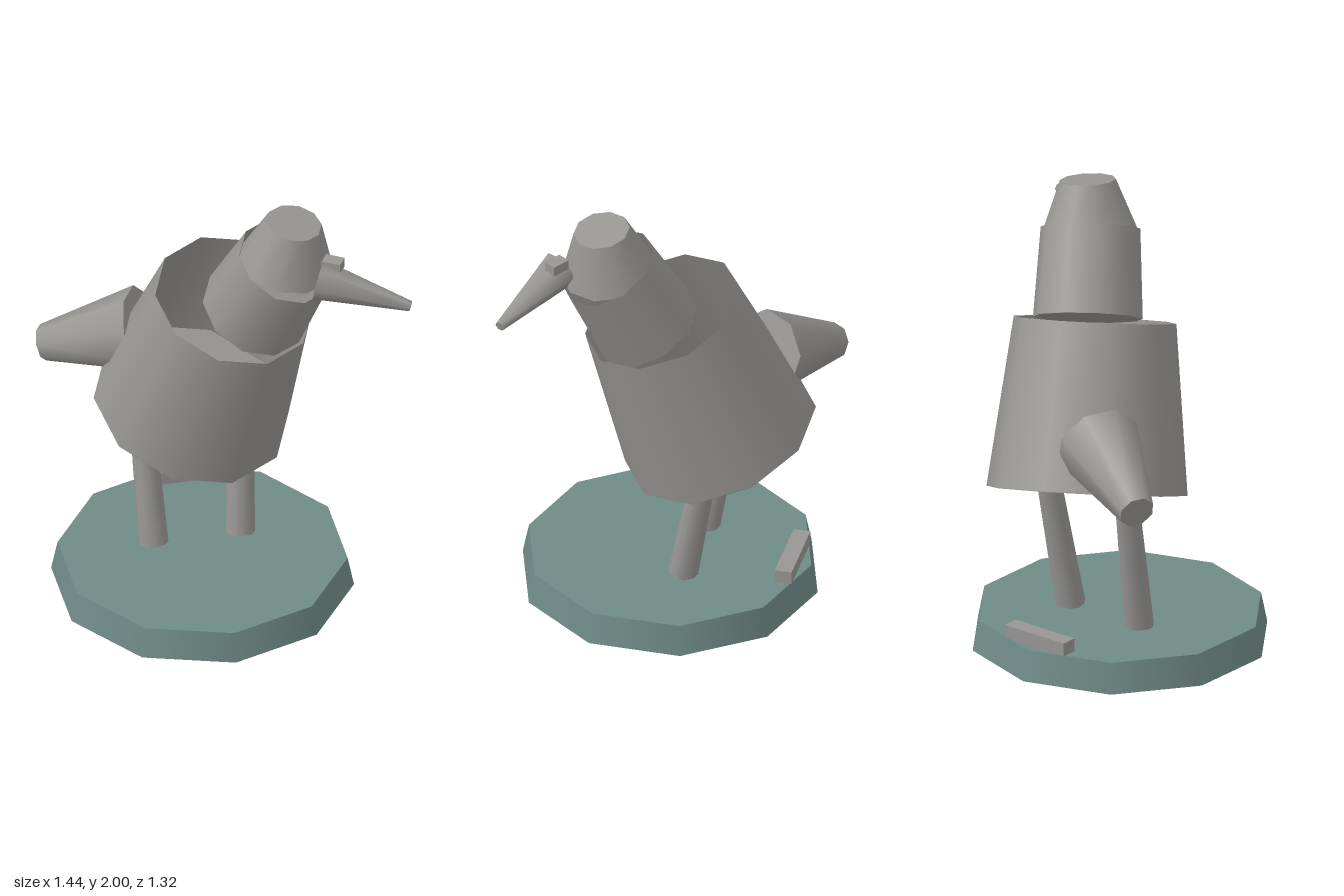
import * as THREE from 'three';

const UP = new THREE.Vector3(0, 1, 0);

export function createModel() {
  const model = new THREE.Group();
  const grey = new THREE.MeshStandardMaterial({ color: 0x989693, side: THREE.DoubleSide });
  grey.name = 'plumage grey';
  const teal = new THREE.MeshStandardMaterial({ color: 0x6f8a86 });
  teal.name = 'plinth teal';

  // Tapered tube from point a (radius ra) to point b (radius rb), turned by a phase in degrees
  function taper(name, a, b, ra, rb, sides, phase = 0, openTop = false, material = grey) {
    const start = new THREE.Vector3(...a);
    const axis = new THREE.Vector3(...b).sub(start);
    const length = axis.length();
    const turn = THREE.MathUtils.degToRad(phase);
    const part = new THREE.Group();
    part.name = name;
    const wall = new THREE.CylinderGeometry(rb, ra, length, sides, 1, openTop, turn);
    wall.translate(0, length / 2, 0);
    part.add(new THREE.Mesh(wall, material));
    if (openTop) {
      // Floor of the open tube
      const floor = new THREE.CylinderGeometry(ra, ra, 0.004, sides, 1, false, turn);
      part.add(new THREE.Mesh(floor, material));
    }
    part.children.forEach((mesh) => { mesh.name = name; });
    part.position.copy(start);
    part.quaternion.setFromUnitVectors(UP, axis.normalize());
    model.add(part);
  }

  function block(name, size, position, yaw = 0) {
    const mesh = new THREE.Mesh(new THREE.BoxGeometry(...size), grey);
    mesh.name = name;
    mesh.position.set(...position);
    mesh.rotation.y = yaw;
    model.add(mesh);
  }

  // Plinth
  taper('plinth', [-0.09, 0, 0], [-0.09, 0.138, 0], 0.66, 0.632, 10, 0, false, teal);
  block('plinthBlock', [0.33, 0.06, 0.075], [-0.09, 0.168, -0.548]);

  // Legs
  taper('leftLeg', [0.1, 0.14, -0.107], [0.13, 0.75, -0.22], 0.066, 0.054, 10);
  taper('rightLeg', [-0.285, 0.14, -0.107], [-0.312, 0.75, -0.22], 0.066, 0.054, 10);

  // Body and neck are hollow, open at the top
  taper('body', [-0.09, 0.758, -0.225], [0.05, 1.45, 0], 0.44, 0.356, 10, 14, true);
  taper('neck', [0.13, 1.425, 0.048], [0.238, 1.77, 0.197], 0.24, 0.218, 10, 14, true);

  // Head, beak and brow
  taper('head', [0.235, 1.758, 0.192], [0.268, 1.982, 0.216], 0.21, 0.123, 10, 14);
  taper('beak', [0.338, 1.793, 0.39], [0.71, 1.711, 0.56], 0.09, 0.023, 6, 35);
  block('brow', [0.06, 0.045, 0.085], [0.405, 1.86, 0.382], 1.0);

  // Tail
  taper('tail', [-0.28, 1.085, -0.383], [-0.668, 0.927, -0.587], 0.19, 0.08, 8);

  return model;
}
